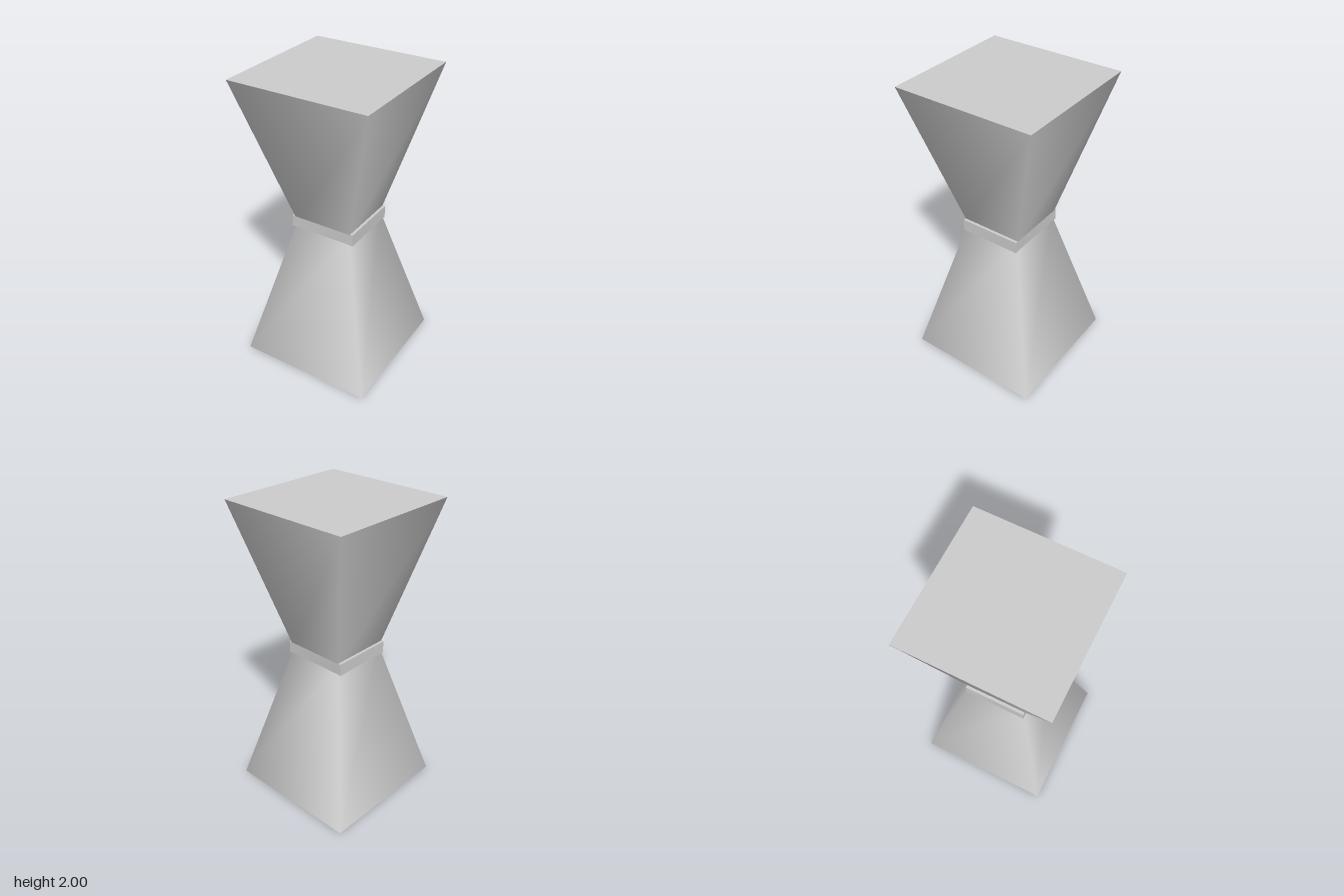
import * as THREE from 'three';

export function createModel() {
  const group = new THREE.Group();
  const material = new THREE.MeshStandardMaterial({ color: 0xcccccc, side: THREE.DoubleSide });
  const wide = 0.46, narrow = 0.195, waistY = 1.01;

  const add = (name, geometry, y) => {
    const mesh = new THREE.Mesh(geometry, material);
    mesh.name = name;
    mesh.position.y = y;
    group.add(mesh);
  };

  // Open four-sided frustum with smooth normals, given by half widths
  const frustum = (top, bottom, height) =>
    new THREE.CylinderGeometry(top * Math.SQRT2, bottom * Math.SQRT2, height, 4, 1, true)
      .rotateY(Math.PI / 4);

  // Flared base, open underneath
  add('lowerBody', frustum(narrow, wide, waistY), waistY / 2);

  // Flared upper half and its flat top
  add('upperBody', frustum(wide, narrow, 2 - waistY), (2 + waistY) / 2);
  add('topSurface', new THREE.PlaneGeometry(wide * 2, wide * 2).rotateX(-Math.PI / 2), 2);

  // Band around the waist
  add('waistBand', new THREE.BoxGeometry(0.45, 0.08, 0.41), waistY);

  return group;
}
